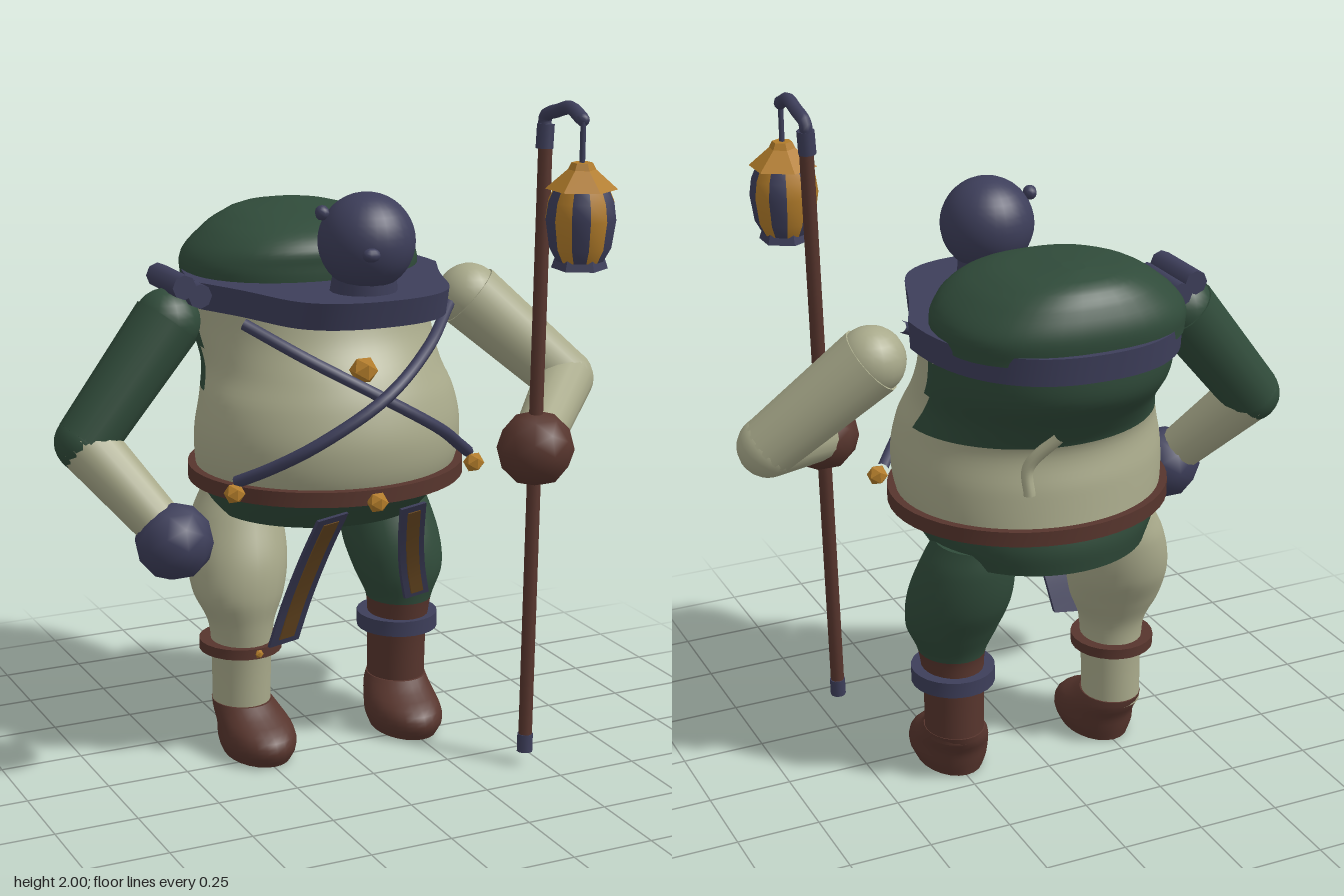
import * as THREE from 'three';

const mat = (name, color) => {
  const m = new THREE.MeshStandardMaterial({ color });
  m.name = name;
  return m;
};
const V = (x, y, z) => new THREE.Vector3(x, y, z);

export function createModel() {
  const green = mat('dark green', 0x304b3a);
  const cream = mat('pale cloth', 0xa9aa8b);
  const navy = mat('slate blue', 0x3d3e5a);
  const brown = mat('brown leather', 0x57352d);
  const gold = mat('brass', 0xb27c2a);
  const bronze = mat('dark bronze', 0x6b4a22);
  const model = new THREE.Group();

  const add = (name, geo, material, pos) => {
    const mesh = new THREE.Mesh(geo, material);
    mesh.name = name;
    if (pos) mesh.position.copy(pos);
    model.add(mesh);
    return mesh;
  };

  // Stacked oval rings [y, half width, front z, back z, centre x], bottom to top, with caps.
  // power squares the oval, pinch narrows its front, pick(x, y, z) gives a material index per face.
  function loft(rings, { rows = 0, seg = 32, power = 1, pinch = 0, pick } = {}) {
    if (rows) {
      const ys = rings.map(r => r[0]);
      const curve = new THREE.CubicInterpolant(ys, rings.flatMap(r => [r[1], r[2], r[3], r[4] ?? 0]), 4);
      const y0 = ys[0], y1 = ys[ys.length - 1];
      rings = Array.from({ length: rows + 1 }, (_, i) => {
        const y = i === rows ? y1 : y0 + (y1 - y0) * i / rows;
        return [y, ...curve.evaluate(y)];
      });
    }
    const pos = [], faces = [[], []];
    const bend = t => Math.sign(t) * Math.pow(Math.abs(t), power);
    const addRing = ([y, w, zf, zb, cx = 0]) => {
      for (let i = 0; i < seg; i++) {
        const a = i / seg * Math.PI * 2, c = bend(Math.cos(a));
        const narrow = 1 - pinch * Math.sin(Math.PI * Math.max(0, c));
        pos.push(cx + w * narrow * bend(Math.sin(a)), y, (zf + zb) / 2 + (zf - zb) / 2 * c);
      }
    };
    rings.forEach(addRing);
    for (let r = 0; r < rings.length - 1; r++) {
      for (let i = 0; i < seg; i++) {
        const j = (i + 1) % seg;
        const a = r * seg + i, b = r * seg + j, c = b + seg, d = a + seg;
        const mid = k => (pos[a * 3 + k] + pos[c * 3 + k]) / 2;
        faces[pick ? pick(mid(0), mid(1), mid(2)) : 0].push(a, b, c, a, c, d);
      }
    }
    [rings[0], rings[rings.length - 1]].forEach((ring, top) => {
      const s = pos.length / 3;
      addRing(ring);
      pos.push(ring[4] ?? 0, ring[0], (ring[2] + ring[3]) / 2);
      for (let i = 0; i < seg; i++) {
        const j = (i + 1) % seg;
        faces[pick ? pick(0, ring[0], ring[3]) : 0].push(s + seg, s + (top ? i : j), s + (top ? j : i));
      }
    });
    const geo = new THREE.BufferGeometry();
    geo.setAttribute('position', new THREE.Float32BufferAttribute(pos, 3));
    geo.setIndex(faces.flat());
    if (pick) {
      geo.addGroup(0, faces[0].length, 0);
      geo.addGroup(faces[0].length, faces[1].length, 1);
    }
    geo.computeVertexNormals();
    return geo;
  }

  // Round rod between two points, r0 at the start and r1 at the end
  function rod(name, a, b, r0, r1, material, seg = 16) {
    const mesh = add(name, new THREE.CylinderGeometry(r1, r0, a.distanceTo(b), seg), material, a.clone().lerp(b, 0.5));
    mesh.quaternion.setFromUnitVectors(V(0, 1, 0), b.clone().sub(a).normalize());
  }
  const ball = (name, p, r, material, w = 20, h = 14) => add(name, new THREE.SphereGeometry(r, w, h), material, p);
  const tube = (name, pts, r, material) =>
    add(name, new THREE.TubeGeometry(new THREE.CatmullRomCurve3(pts), 24, r, 8), material);
  const stud = (p, r) => add('brassStud', new THREE.IcosahedronGeometry(r, 0), gold, p);

  // Torso: pale belly, green breeches below the belt and green back under the hump
  add('torso', loft([
    [0.75, 0.32, 0.15, -0.46], [0.82, 0.36, 0.22, -0.47], [0.88, 0.39, 0.265, -0.46],
    [1.0, 0.405, 0.29, -0.445], [1.12, 0.385, 0.265, -0.43], [1.2, 0.36, 0.23, -0.48],
    [1.3, 0.362, 0.17, -0.56], [1.42, 0.37, 0.13, -0.575],
  ], {
    rows: 40, seg: 64,
    pick: (x, y, z) => (y < 0.88 || (y > 1.13 && z < -0.13 - (y - 1.13) * 0.42) ? 1 : 0),
  }), [cream, green]);
  add('hump', loft([
    [1.43, 0.36, 0.01, -0.575], [1.5, 0.358, 0.01, -0.58], [1.56, 0.305, 0, -0.56],
    [1.605, 0.23, -0.07, -0.53], [1.635, 0.13, -0.2, -0.48], [1.645, 0.03, -0.34, -0.42],
  ], { rows: 18, seg: 40, power: 0.87 }), green);
  add('collarBand', loft([[1.38, 0.385, 0.325, -0.592], [1.46, 0.388, 0.345, -0.598]],
    { seg: 64, power: 0.87, pinch: 0.17 }), navy);
  add('belt', loft([[0.855, 0.42, 0.3, -0.48], [0.9, 0.42, 0.3, -0.48]], { seg: 48 }), brown);
  tube('backHook', [V(0.15, 1.0, -0.42), V(0.15, 1.08, -0.41), V(0.08, 1.18, -0.46)], 0.018, cream);

  // Crossed chest straps and brass studs
  const strapDepths = { '1': [0.07, 0.19, 0.28, 0.265, 0.18, 0.11], '-1': [0.07, 0.21, 0.315, 0.29, 0.2, 0.12] };
  for (const s of [-1, 1]) {
    const path = [[-0.33, 1.37], [-0.19, 1.28], [0, 1.17], [0.2, 1.05], [0.31, 0.97], [0.38, 0.92]];
    tube('chestStrap', path.map(([x, y], i) => V(x * s, y, strapDepths[s][i])), 0.018, navy);
    stud(V(0.39 * s, 0.89, 0.13), 0.032);
  }
  stud(V(-0.02, 0.865, 0.31), 0.032);
  stud(V(-0.03, 1.24, 0.235), 0.042);

  // Hooded head
  rod('neck', V(0, 1.44, 0.17), V(0, 1.52, 0.18), 0.1, 0.09, navy);
  rod('scarfBack', V(0, 1.45, 0.08), V(0, 1.485, 0.1), 0.055, 0.05, brown);
  ball('head', V(0, 1.605, 0.19), 0.14, navy, 28, 20);
  ball('faceKnob', V(-0.05, 1.59, 0.325), 0.025, navy, 10, 8).scale.set(1.1, 0.8, 0.8);
  ball('sideKnob', V(-0.125, 1.69, 0.16), 0.022, navy, 8, 6);

  // Right arm with green sleeve and shoulder bars
  const rShoulder = V(-0.5, 1.36, -0.1), rElbow = V(-0.765, 1.035, -0.08);
  ball('rightShoulder', rShoulder, 0.098, green);
  rod('rightSleeve', rShoulder, rElbow, 0.103, 0.09, green);
  ball('rightElbow', rElbow, 0.089, green);
  rod('rightForearm', rElbow, V(-0.6, 0.81, 0.08), 0.088, 0.07, cream);
  add('rightGlove', new THREE.IcosahedronGeometry(0.115, 1), navy, V(-0.57, 0.765, 0.11));
  for (const [x, y] of [[-0.48, 1.475], [-0.432, 1.445]]) {
    rod('shoulderBar', V(x, y, -0.22), V(x, y, -0.005), 0.036, 0.036, navy, 8);
  }

  // Left arm, bent forward to the staff
  const lShoulder = V(0.49, 1.35, -0.1), lElbow = V(0.762, 1.09, 0.025);
  ball('leftShoulder', lShoulder, 0.1, cream);
  rod('leftUpperArm', lShoulder, lElbow, 0.106, 0.09, cream);
  ball('leftElbow', lElbow, 0.09, cream);
  rod('leftForearm', lElbow, V(0.52, 0.98, 0.28), 0.09, 0.075, cream);
  add('leftGlove', new THREE.IcosahedronGeometry(0.115, 1), brown, V(0.49, 0.97, 0.325));

  // Legs: the left has a tall boot, the right a low shoe
  for (const s of [-1, 1]) {
    const side = s > 0 ? 'left' : 'right', hose = s > 0 ? green : cream;
    const cuff = s > 0 ? 0.41 : 0.13;
    add(side + 'Leg', loft([
      [0.13, 0.088, -0.04, -0.235, 0.265 * s], [0.3, 0.09, -0.03, -0.235, 0.265 * s],
      [0.41, 0.1, -0.015, -0.24, 0.268 * s], [0.5, 0.138, 0, -0.28, 0.27 * s],
      [0.6, 0.152, -0.01, -0.33, 0.26 * s], [0.73, 0.135, -0.06, -0.35, 0.245 * s],
      [0.8, 0.11, -0.09, -0.34, 0.235 * s],
    ], { rows: 48, seg: 24, pick: (x, y) => (y < cuff ? 1 : 0) }), [hose, brown]);
    add(side + 'Foot', loft([
      [0, 0.095, 0.085, -0.195, 0.25 * s], [0.04, 0.112, 0.105, -0.205, 0.25 * s],
      [0.085, 0.11, 0.085, -0.215, 0.25 * s], [0.125, 0.1, 0.01, -0.235, 0.257 * s],
      [0.152, 0.091, -0.03, -0.24, 0.264 * s],
    ], { rows: 10, seg: 24 }), brown);
    add(side + 'SolePatch', new THREE.CylinderGeometry(0.028, 0.028, 0.005, 8), gold, V(0.25 * s, 0, 0.035));
    const h = s > 0 ? 0.024 : 0.016;
    add(side + 'KneeBand', loft([
      [0.333 - h, 0.125, -0.005, -0.265, 0.267 * s], [0.333 + h, 0.125, -0.005, -0.265, 0.267 * s],
    ], { seg: 24 }), s > 0 ? navy : brown);
  }
  stud(V(-0.26, 0.333, -0.006), 0.014);

  // Hanging sashes: thin boxes bent along a curve, with the inlay on the front only
  function sash(points, width) {
    const curve = new THREE.CatmullRomCurve3(points);
    const strip = (name, w, lift, t0, t1, material) => {
      const geo = new THREE.BoxGeometry(w, 1, 0.016, 1, 10, 1);
      const p = geo.attributes.position;
      for (let i = 0; i < p.count; i++) {
        const c = curve.getPoint(t0 + (t1 - t0) * (0.5 - p.getY(i)));
        p.setXYZ(i, c.x + p.getX(i), c.y + p.getX(i) * 0.15, c.z + p.getZ(i) + lift);
      }
      geo.computeVertexNormals();
      add(name, geo, material);
    };
    strip('sash', width, 0, 0, 1, navy);
    strip('sashInlay', width * 0.5, 0.006, 0.05, 0.95, bronze);
  }
  sash([V(-0.135, 0.82, 0.25), V(-0.15, 0.68, 0.16), V(-0.17, 0.51, 0.07), V(-0.19, 0.365, 0.015)], 0.095);
  sash([V(0.125, 0.82, 0.25), V(0.165, 0.68, 0.16), V(0.2, 0.57, 0.1), V(0.235, 0.47, 0.06)], 0.08);

  // Staff with a curved hook
  const foot = V(0.445, 0.04, 0.378), top = V(0.52, 1.88, 0.29);
  rod('staff', foot, top, 0.021, 0.021, brown, 10);
  rod('staffTip', foot, foot.clone().lerp(top, 0.03), 0.024, 0.024, navy, 10);
  tube('staffHook', [top, V(0.522, 1.94, 0.284), V(0.524, 1.965, 0.35), V(0.524, 1.98, 0.42), V(0.524, 1.955, 0.485)], 0.02, navy);
  ball('hookEnd', V(0.524, 1.955, 0.485), 0.02, navy, 8, 6);
  rod('hookCollar', V(0.516, 1.85, 0.291), V(0.521, 1.92, 0.288), 0.026, 0.026, navy, 10);

  // Lantern: alternating brass panes and dark ribs under a six-sided roof
  const lx = 0.52, lz = 0.495;
  rod('lanternRod', V(lx, 1.82, lz), V(lx, 1.95, lz), 0.008, 0.008, navy, 6);
  const profile = [[0.068, 1.56], [0.09, 1.6], [0.102, 1.68], [0.095, 1.73], [0.075, 1.775]]
    .map(([r, y]) => new THREE.Vector2(r, y));
  for (let i = 0; i < 12; i++) {
    const pane = i % 2 === 0;
    const geo = new THREE.LatheGeometry(profile, 1, (i - 0.5) * Math.PI / 6, Math.PI / 6);
    add(pane ? 'lanternPane' : 'lanternRib', geo, pane ? gold : navy, V(lx, 0, lz));
  }
  const disc = (name, r1, r0, h, y, material) => {
    const geo = new THREE.CylinderGeometry(r1, r0, h, 6).toNonIndexed();
    geo.computeVertexNormals();
    add(name, geo, material, V(lx, y, lz));
  };
  disc('lanternBase', 0.07, 0.08, 0.03, 1.553, navy);
  disc('lanternRoof', 0.04, 0.102, 0.055, 1.79, gold);
  disc('lanternCap', 0.03, 0.04, 0.02, 1.827, gold);

  return model;
}
